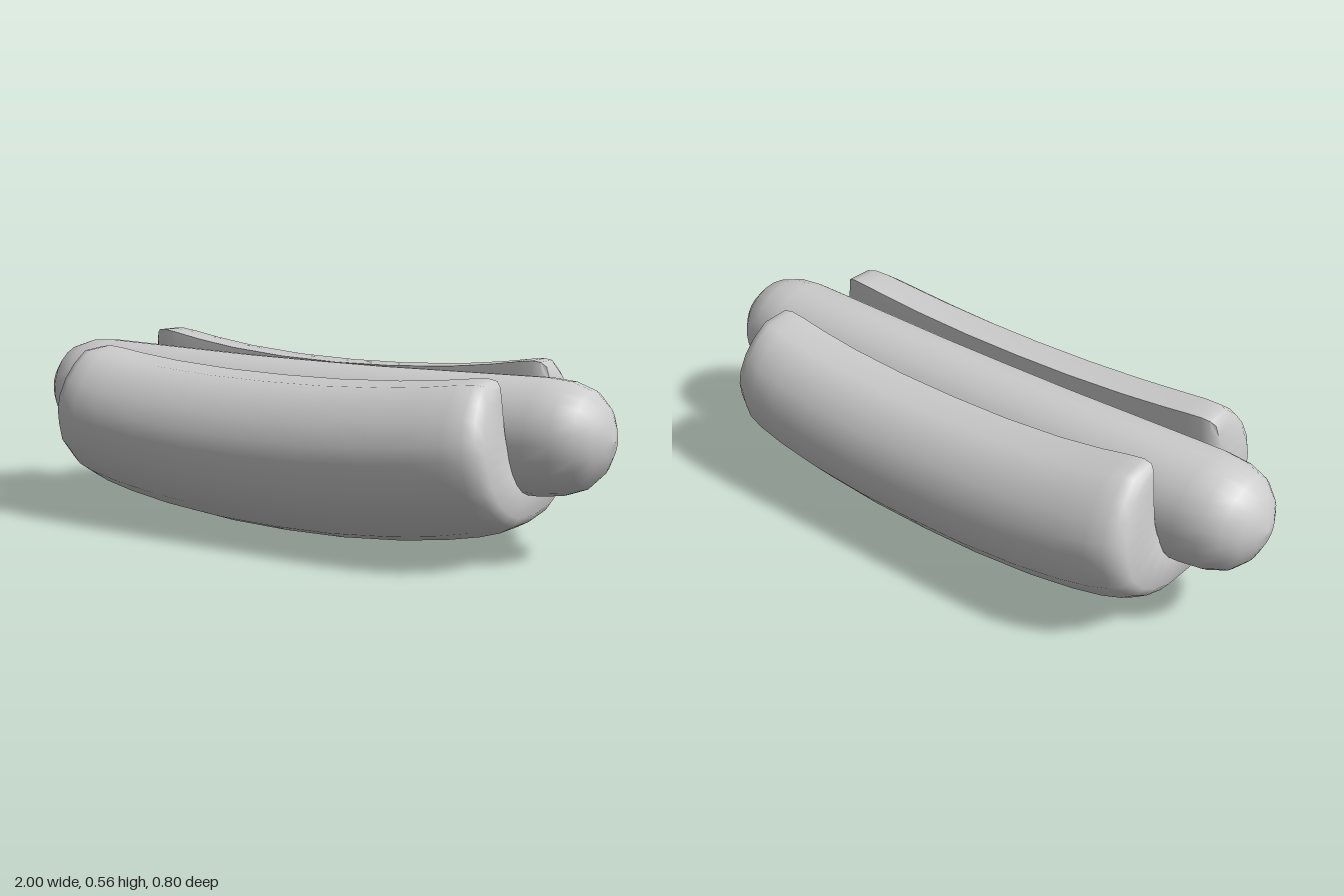
import * as THREE from 'three';
import { toCreasedNormals } from 'three/addons/utils/BufferGeometryUtils.js';

const material = new THREE.MeshStandardMaterial({ color: 0xcccccc, roughness: 0.7 });

// Half of the bun's U-shaped section as [z, y], from the lip down to the bottom.
const outerHalf = [[0.27, 0.495], [0.33, 0.45], [0.37, 0.4], [0.395, 0.34], [0.4, 0.29],
  [0.39, 0.235], [0.37, 0.17], [0.3, 0.09], [0.22, 0.04], [0.14, 0.01], [0, 0]];
const innerHalf = [[0.155, 0.5], [0.15, 0.45], [0.15, 0.4], [0.15, 0.36], [0.147, 0.32],
  [0.14, 0.29], [0.125, 0.26], [0.1, 0.235], [0.075, 0.22], [0.04, 0.21], [0, 0.205]];
const mirrorHalf = (half) => [...half, ...half.slice(0, -1).reverse().map(([z, y]) => [-z, y])];

function bunGeometry() {
  const outer = mirrorHalf(outerHalf);
  const inner = mirrorHalf(innerHalf);
  const n = outer.length;
  const ring = 2 * n;

  // Stations along the bun: [x, thickness]; the ends thin out to round them.
  const half = [[0.2, 1], [0.4, 1], [0.55, 1], [0.65, 0.99], [0.71, 0.94], [0.745, 0.82], [0.765, 0.6]];
  const stations = [...half.map(([x, s]) => [-x, s]).reverse(), [0, 1], ...half];

  const positions = [];
  for (const [x, s] of stations) {
    const along = Math.abs(x) / 0.73;
    const bend = along ** 2.2;
    const narrow = 1 - 0.06 * along ** 4;
    const addPoint = (p, q) => {
      // Shrink towards the middle of the wall, then curve the ends upwards.
      const mz = (p[0] + q[0]) / 2, my = (p[1] + q[1]) / 2;
      let z = (mz + (p[0] - mz) * s) * narrow;
      let y = my + (p[1] - my) * s;
      const t = Math.min(y / 0.5, 1);
      y += bend * (0.085 - 0.035 * t) - (1 - s) * 0.08 * t * t;
      if (z < 0) y += bend * 0.02 * t * t * (x < 0 ? 1.1 : 0.7);
      const px = x - Math.sign(x) * 0.04 * t * t * along ** 4;
      positions.push(px, y, z);
    };
    for (let k = 0; k < n; k++) addPoint(outer[k], inner[k]);
    for (let k = n - 1; k >= 0; k--) addPoint(inner[k], outer[k]);
  }

  const index = [];
  const quad = (a, b, c, d) => index.push(a, b, c, a, c, d);
  for (let i = 0; i < stations.length - 1; i++) {
    for (let j = 0; j < ring; j++) {
      const a = i * ring + j, b = i * ring + (j + 1) % ring;
      quad(a, b, b + ring, a + ring);
    }
  }
  // End faces between the outer and inner walls
  const last = (stations.length - 1) * ring;
  for (let k = 0; k < n - 1; k++) {
    const i0 = ring - 1 - k, i1 = ring - 2 - k;
    quad(last + k, last + k + 1, last + i1, last + i0);
    quad(k, i0, i1, k + 1);
  }

  const geometry = new THREE.BufferGeometry();
  geometry.setAttribute('position', new THREE.Float32BufferAttribute(positions, 3));
  geometry.setIndex(index);
  return toCreasedNormals(geometry, 1.0);
}

function sausageGeometry() {
  // Round-ended profile, turned to lie along x
  const half = [[0, 1], [0.05, 0.99], [0.1, 0.967], [0.142, 0.925], [0.164, 0.865], [0.172, 0.79],
    [0.172, 0.5], [0.17, 0.25]];
  const profile = [...half.map(([r, x]) => [r, -x]), [0.17, 0], ...half.slice().reverse()];
  const geometry = new THREE.LatheGeometry(profile.map(([r, x]) => new THREE.Vector2(r, x)), 24);
  geometry.rotateZ(-Math.PI / 2);

  // Gentle sag in the middle
  const p = geometry.attributes.position;
  for (let i = 0; i < p.count; i++) {
    const x = p.getX(i);
    p.setY(i, p.getY(i) + 0.355 + 0.015 * x * x);
    p.setZ(i, p.getZ(i) + 0.005 + 0.006 * x);
  }
  return geometry;
}

export function createModel() {
  const group = new THREE.Group();
  group.name = 'hotDog';
  const parts = { bun: bunGeometry(), sausage: sausageGeometry() };
  for (const [name, geometry] of Object.entries(parts)) {
    const mesh = new THREE.Mesh(geometry, material);
    mesh.name = name;
    group.add(mesh);
  }
  return group;
}
